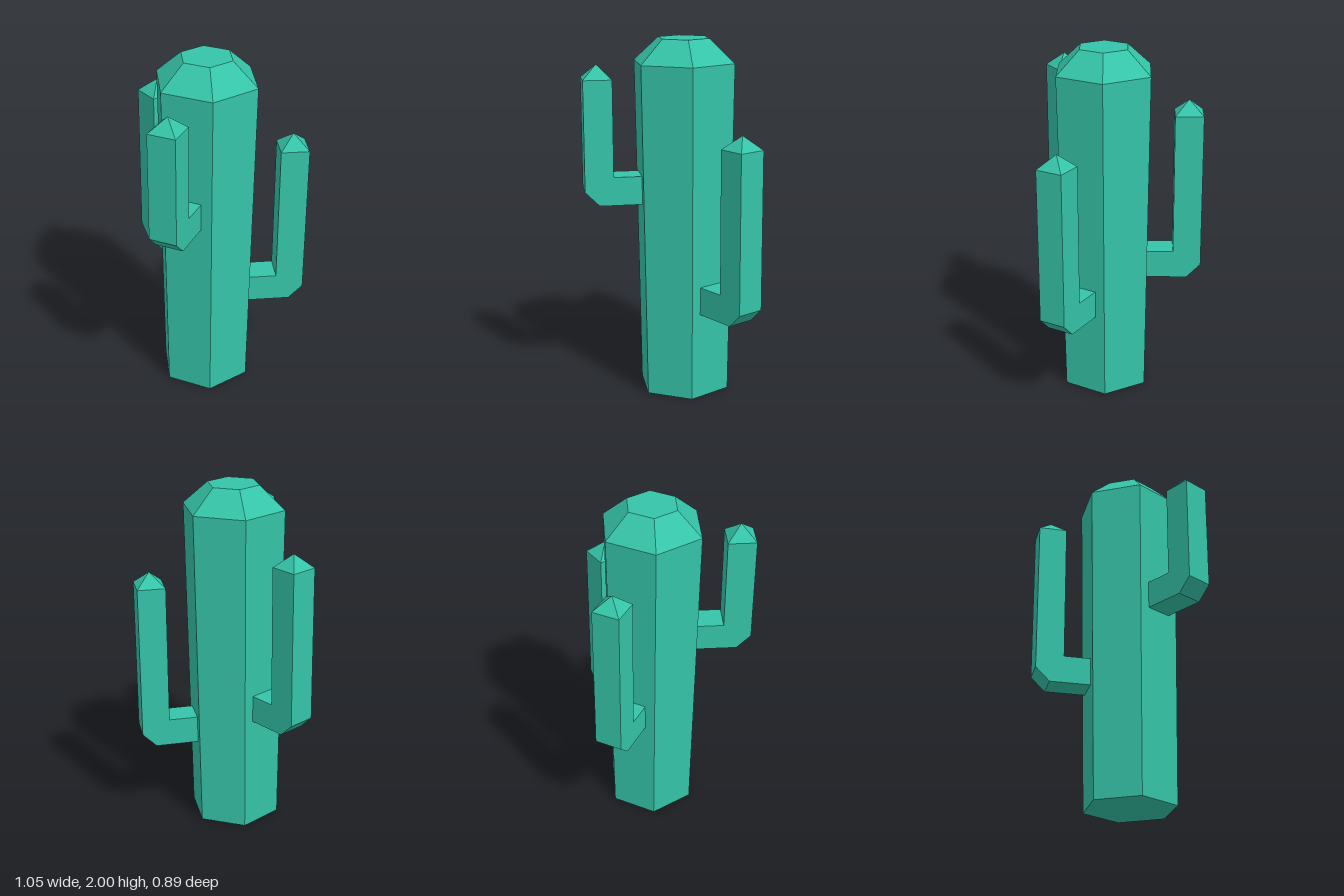
import * as THREE from 'three';

const material = new THREE.MeshStandardMaterial({ color: 0x35c4a8, flatShading: true });
const HALF = 0.079; // half the thickness of an arm
const TRUNK_Z = 0.097;

// Six-sided tapered section with corners on the x axis
function hexSection(name, rTop, rBottom, y0, y1, open) {
  const geometry = new THREE.CylinderGeometry(rTop, rBottom, y1 - y0, 6, 1, open, Math.PI / 6);
  const mesh = new THREE.Mesh(geometry, material);
  mesh.name = name;
  mesh.position.y = (y0 + y1) / 2;
  return mesh;
}

// Square elbow arm reaching along +x, then turned to its direction
function makeArm(name, angle, reach, yBottom, yTop) {
  const arm = new THREE.Group();
  arm.name = name;
  const inner = reach - HALF, outer = reach + HALF, start = 0.235;

  // Elbow profile with a chamfered outer corner
  const profile = new THREE.Shape([
    [start, yBottom], [reach, yBottom], [outer, yBottom + HALF], [outer, yTop],
    [inner, yTop], [inner, yBottom + 2 * HALF], [start, yBottom + 2 * HALF],
  ].map(([x, y]) => new THREE.Vector2(x, y)));
  const limbGeometry = new THREE.ExtrudeGeometry(profile, { depth: 2 * HALF, bevelEnabled: false });
  limbGeometry.translate(0, 0, -HALF);
  const limb = new THREE.Mesh(limbGeometry, material);
  limb.name = name + 'Limb';

  // Pyramid tip
  const tip = new THREE.Mesh(
    new THREE.ConeGeometry(HALF * Math.SQRT2, 0.077, 4, 1, true, Math.PI / 4), material);
  tip.name = name + 'Tip';
  tip.position.set(reach, yTop + 0.0385, 0);

  arm.add(limb, tip);
  arm.rotation.y = THREE.MathUtils.degToRad(angle);
  return arm;
}

export function createModel() {
  const model = new THREE.Group();
  model.name = 'cactus';
  const plant = new THREE.Group();
  plant.name = 'plant';
  plant.position.z = TRUNK_Z;
  plant.add(
    hexSection('trunk', 0.294, 0.265, 0, 1.87, false),
    hexSection('trunkTop', 0.149, 0.294, 1.87, 2, false),
    makeArm('leftArm', -30, 0.48, 0.493, 1.452),
    makeArm('rightArm', -150, 0.48, 1.097, 1.788),
    makeArm('backArm', 90, 0.468, 0.67, 1.63),
  );
  model.add(plant);
  return model;
}
